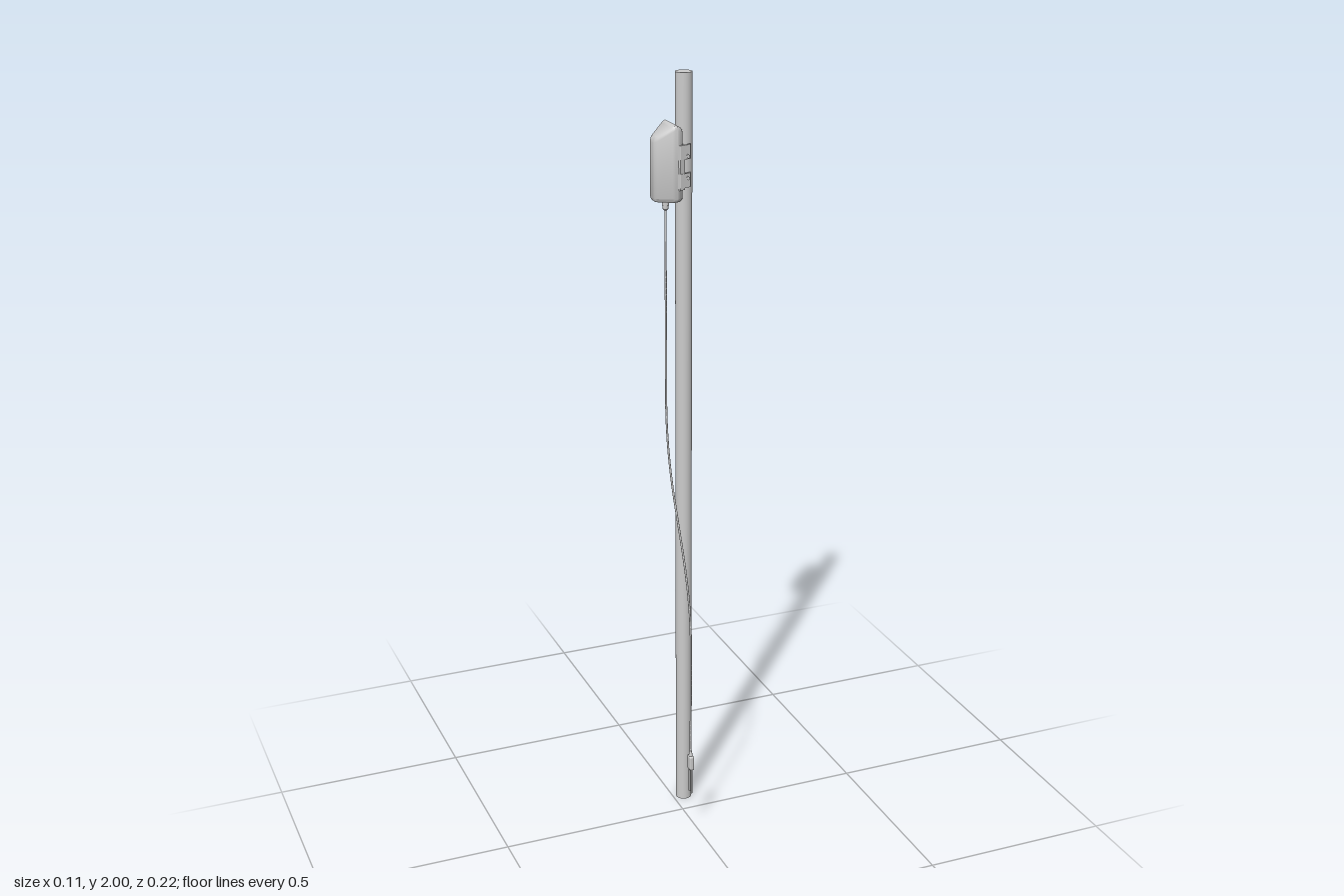
import * as THREE from 'three';
import { toCreasedNormals } from 'three/addons/utils/BufferGeometryUtils.js';
import { RoundedBoxGeometry } from 'three/addons/geometries/RoundedBoxGeometry.js';

const Z = -0.068;      // depth of pole and housing axis
const CABLE_X = -0.018;

export function createModel() {
  const group = new THREE.Group();
  const grey = new THREE.MeshStandardMaterial({ color: 0xcccccc });
  const add = (name, geometry, x = 0, y = 0, z = 0, rx = 0) => {
    const mesh = new THREE.Mesh(geometry, grey);
    mesh.name = name;
    mesh.position.set(x, y, z);
    mesh.rotation.x = rx;
    group.add(mesh);
    return mesh;
  };

  // Pole
  add('pole', new THREE.CylinderGeometry(0.021, 0.021, 2, 32), 0.03, 1, Z);

  // Housing with tapered plan, ridged roof and softened edges
  add('housing', housingGeometry(), 0, 0, Z);

  // Bracket: bent side plates, jaws gripping the pole, and bolts on both sides
  for (const s of [1, -1]) {
    const side = s > 0 ? 'left' : 'right';
    const plate = [[-0.002, 0.041], [0.006, 0.042], [0.034, 0.034], [0.037, 0.030],
      [0.037, 0.024], [0.033, 0.024], [0.033, 0.029], [0.006, 0.037], [-0.002, 0.037]];
    for (const y of [1.725, 1.795]) {
      add(side + 'BracketPlate', prism(plate, s, 0.035), 0, y, Z);
    }
    add(side + 'BracketSpine', prism([[-0.004, 0.038], [0.004, 0.042], [0.019, 0.036],
      [0.019, 0.032], [0.004, 0.036]], s, 0.11), 0, 1.72, Z);
    const jaw = [[0.012, 0.016], [0.012, 0.030], [0.020, 0.030], [0.036, 0.024],
      [0.036, 0.019], [0.024, 0.019]];
    for (const y of [1.738, 1.792]) add(side + 'Jaw', prism(jaw, s, 0.02), 0, y, Z);
    for (const y of [1.748, 1.802]) {
      add(side + 'Bolt', new THREE.CylinderGeometry(0.005, 0.005, 0.012, 6),
        0.026, y, Z + s * 0.034, Math.PI / 2);
    }
  }
  add('bracketBackPlate', new THREE.BoxGeometry(0.006, 0.11, 0.066), 0.015, 1.775, Z);

  // Cable gland below the housing
  const gland = [[0, 1.664], [0.004, 1.664], [0.007, 1.668], [0.007, 1.676], [0.009, 1.677],
    [0.009, 1.686], [0.011, 1.687], [0.011, 1.695], [0, 1.695]];
  add('cableGland', toCreasedNormals(new THREE.LatheGeometry(
    gland.map(p => new THREE.Vector2(...p)), 16), 0.6), CABLE_X, 0, Z);

  // Cable: straight drop, S-bend forward, straight drop
  const P = (y, z) => new THREE.Vector3(CABLE_X, y, z);
  const path = new THREE.CurvePath();
  path.add(new THREE.LineCurve3(P(1.67, Z), P(1.18, Z)));
  path.add(new THREE.CubicBezierCurve3(P(1.18, Z), P(1.06, Z), P(0.97, -0.04), P(0.88, 0.004)));
  path.add(new THREE.CubicBezierCurve3(P(0.88, 0.004), P(0.79, 0.045), P(0.69, 0.1), P(0.55, 0.1)));
  path.add(new THREE.LineCurve3(P(0.55, 0.1), P(0.23, 0.1)));
  add('cable', new THREE.TubeGeometry(path, 100, 0.0028, 8));

  // Splitter with two tails
  add('splitterBody', new RoundedBoxGeometry(0.013, 0.04, 0.023, 3, 0.004), CABLE_X, 0.206, 0.1);
  const collar = add('splitterCollar', new THREE.CylinderGeometry(0.004, 0.008, 0.018, 16),
    CABLE_X, 0.231, 0.1);
  collar.scale.x = 0.75;
  for (const s of [1, -1]) {
    add('tailWire', new THREE.CylinderGeometry(0.0026, 0.0026, 0.08, 10),
      CABLE_X, 0.155, 0.1 + s * 0.0065);
  }
  return group;
}

// Upright prism from a plan outline of [x, z] points, mirrored by s
function prism(points, s, height) {
  const shape = new THREE.Shape(points.map(([x, z]) => new THREE.Vector2(x, -s * z)));
  return new THREE.ExtrudeGeometry(shape, { depth: height, bevelEnabled: false })
    .rotateX(-Math.PI / 2);
}

// Stacked rings of a symmetric plan, closed by strips across the roof and base
function housingGeometry() {
  const half = [[-0.054, 0.010], [-0.052, 0.015], [-0.047, 0.020], [-0.014, 0.039],
    [-0.008, 0.0415], [-0.002, 0.0415], [0.004, 0.039], [0.013, 0.033], [0.016, 0.028]];
  const n = half.length, m = 2 * n;
  const plan = [...half, ...half.map(([x, z]) => [x, -z]).reverse()];
  const roof = x => x < -0.005 ? 1.88 + (x + 0.005) * 0.72 : 1.88 - (x + 0.005) * 0.6;
  const levels = [[0, 0.86], [0.003, 0.95], [0.009, 1], [-0.010, 1], [-0.003, 0.95], [0, 0.86]];
  const pos = [], index = [];
  levels.forEach(([dy, k], l) => {
    for (const [x, z] of plan) {
      const px = -0.016 + (x + 0.016) * k;
      pos.push(px, (l < 3 ? 1.69 : roof(px)) + dy, z * k);
    }
  });
  const quad = (a, b, c, d) => index.push(a, b, c, a, c, d);
  for (let l = 0; l < levels.length - 1; l++) {
    for (let i = 0; i < m; i++) {
      const j = (i + 1) % m;
      quad(l * m + i, l * m + j, (l + 1) * m + j, (l + 1) * m + i);
    }
  }
  const t = (levels.length - 1) * m;
  for (let i = 0; i < n - 1; i++) {
    const a = i, b = i + 1, c = m - 2 - i, d = m - 1 - i;
    quad(t + a, t + b, t + c, t + d);
    quad(d, c, b, a);
  }
  const g = new THREE.BufferGeometry();
  g.setAttribute('position', new THREE.Float32BufferAttribute(pos, 3));
  g.setIndex(index);
  return toCreasedNormals(g, 0.6);
}
